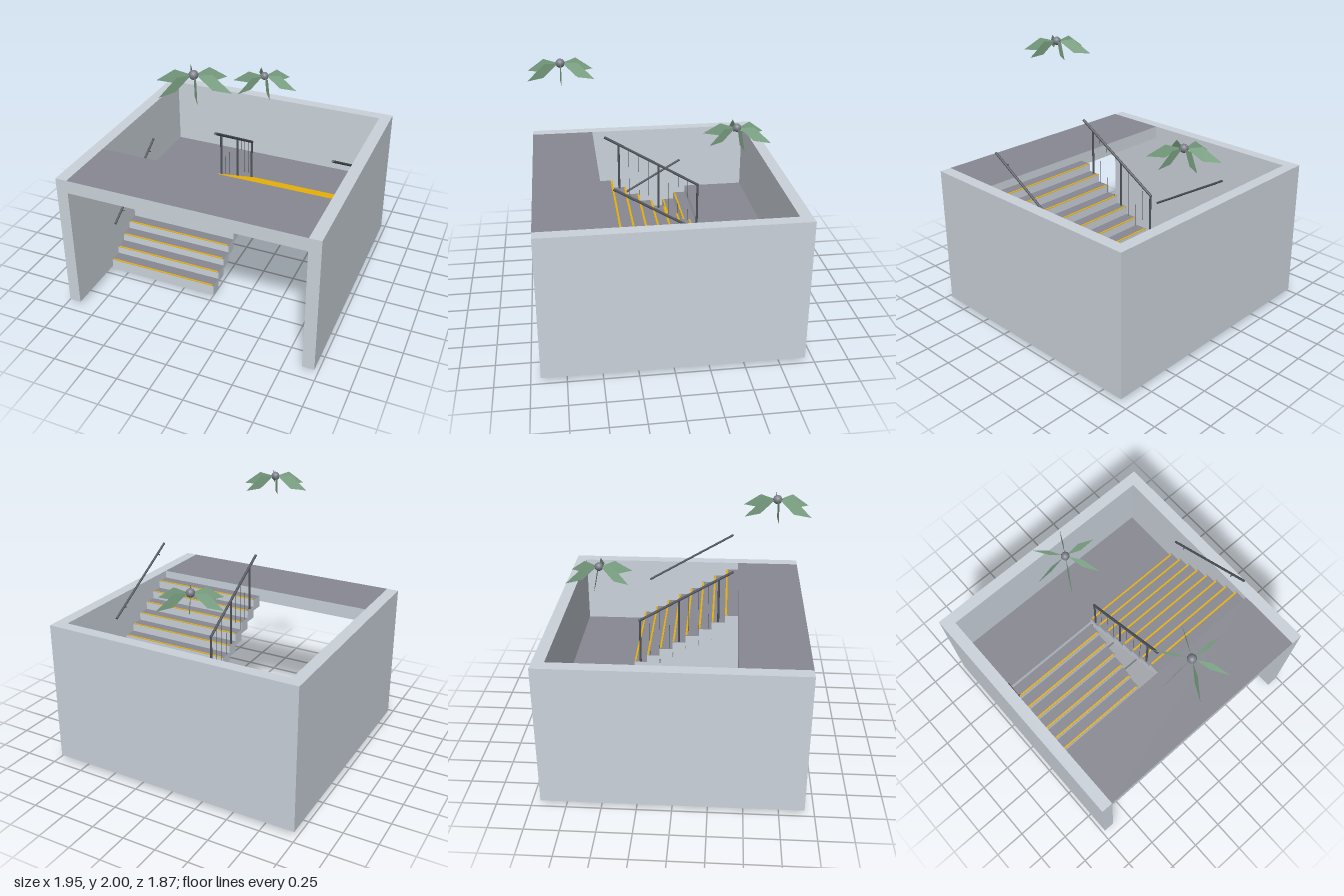
import * as THREE from 'three';

const mat = (name, color, extra = {}) => {
  const m = new THREE.MeshStandardMaterial({ color, ...extra });
  m.name = name;
  return m;
};

export function createModel() {
  const root = new THREE.Group();
  root.name = 'stairwell';
  const concrete = mat('concrete', 0xcbd3db);
  const floor = mat('floor finish', 0x888992);
  const yellow = mat('nosing yellow', 0xeab308);
  const metal = mat('rail metal', 0x50555c);
  const knob = mat('plant core grey', 0x7b7f88);
  const green = mat('leaf green', 0x87b190, { side: THREE.DoubleSide });

  const add = (name, geo, material, parent = root) => {
    const m = new THREE.Mesh(geo, material);
    m.name = name;
    parent.add(m);
    return m;
  };
  // box given by its limits
  const box = (name, x0, x1, y0, y1, z0, z1, material, parent) => {
    const g = new THREE.BoxGeometry(x1 - x0, y1 - y0, z1 - z0);
    g.translate((x0 + x1) / 2, (y0 + y1) / 2, (z0 + z1) / 2);
    return add(name, g, material, parent);
  };
  // only the top face of a walkable block has the floor finish
  const walkable = [concrete, concrete, floor, concrete, concrete, concrete];
  // round bar between two points
  const bar = (name, a, b, r, parent) => {
    const p = new THREE.Vector3(...a), q = new THREE.Vector3(...b);
    const d = q.clone().sub(p);
    const m = add(name, new THREE.CylinderGeometry(r, r, d.length(), 10), metal, parent);
    m.position.copy(p).add(q).multiplyScalar(0.5);
    m.quaternion.setFromUnitVectors(new THREE.Vector3(0, 1, 0), d.normalize());
  };

  const OUT = 0.977, IN = 0.888, FRONT = 0.93, BACK = -0.935, BACK_IN = -0.848;
  const BASE = 0.03, RISE = 0.06, TREAD = 0.0993, LAND = -0.357, EDGE = LAND + 8 * TREAD, TOP = 1.11;

  // enclosing walls
  box('rightWall', -OUT, -IN, BASE, TOP, BACK, FRONT, concrete);
  box('leftWall', IN, OUT, BASE, TOP, BACK, FRONT, concrete);
  box('backWall', -IN, IN, BASE, TOP, BACK, BACK_IN, concrete);

  // floors
  box('upperFloor', -IN, IN, 1.008, TOP, EDGE, FRONT, walkable);
  box('landing', -IN, IN, 0.484, BASE + 9 * RISE, BACK_IN, LAND, walkable);

  // two flights of steps, each with a yellow nosing strip
  const lower = new THREE.Group(), upper = new THREE.Group();
  lower.name = 'lowerFlight';
  upper.name = 'upperFlight';
  root.add(lower, upper);
  for (let i = 0; i < 8; i++) {
    const t1 = BASE + RISE * (i + 1), zf = EDGE - i * TREAD;
    box('step', -IN, 0, t1 - 0.09, t1, zf - TREAD, zf, walkable, lower);
    box('nosing', -0.88, -0.01, t1, t1 + 0.003, zf - 0.015, zf - 0.001, yellow, lower);
    const t2 = BASE + RISE * (i + 10), zb = LAND + i * TREAD;
    box('step', 0, IN, t2 - 0.09, t2, zb, zb + TREAD, walkable, upper);
    box('nosing', 0.01, 0.88, t2, t2 + 0.003, zb + 0.001, zb + 0.015, yellow, upper);
  }

  // wall handrails with short brackets
  for (const [side, yFront, slope] of [[-1, 0.413, -0.6], [1, 1.37, 0.6]]) {
    const g = new THREE.Group();
    g.name = side < 0 ? 'rightHandrail' : 'leftHandrail';
    root.add(g);
    const y = z => yFront + slope * (z - 0.39);
    const x = side * 0.863;
    bar('rail', [x, y(-0.306), -0.306], [x, y(0.39), 0.39], 0.009, g);
    for (const z of [-0.2, 0.282]) bar('bracket', [x, y(z), z], [side * 0.84, y(z), z], 0.005, g);
  }

  // central balustrade: sloping rail, three posts, thin spindles
  const balustrade = new THREE.Group();
  balustrade.name = 'balustrade';
  root.add(balustrade);
  const railY = z => 1.403 + 0.6 * (z - 0.39);
  const treadY = z => BASE + RISE * (10 + Math.floor((z - LAND) / TREAD));
  const X = 0.013;
  bar('rail', [X, railY(-0.316), -0.316], [X, railY(0.39), 0.39], 0.01, balustrade);
  for (let i = 0; i <= 8; i++) {
    const z = -0.308 + i * 0.0745;
    const post = i % 4 === 0;
    bar(post ? 'post' : 'spindle', [X, treadY(z), z], [X, railY(z), z], post ? 0.008 : 0.0012, balustrade);
  }

  // hanging plants: round core with six drooping, slightly twisted leaves
  const leaf = new THREE.BufferGeometry();
  leaf.setAttribute('position', new THREE.Float32BufferAttribute([
    0.02, 0, 0, 0.13, 0.018, -0.006, 0.267, -0.084, 0, 0.135, -0.084, 0.006,
  ], 3));
  leaf.setIndex([0, 3, 1, 1, 3, 2]);
  const leafFlat = leaf.toNonIndexed();
  leafFlat.computeVertexNormals();
  for (const [y, z] of [[1.968, 0.685], [1.427, -0.6]]) {
    const plant = new THREE.Group();
    plant.name = 'plant';
    plant.position.set(0, y, z);
    root.add(plant);
    add('core', new THREE.SphereGeometry(0.032, 16, 12), knob, plant);
    for (let k = 0; k < 6; k++) add('leaf', leafFlat, green, plant).rotation.y = k * Math.PI / 3;
  }
  return root;
}
